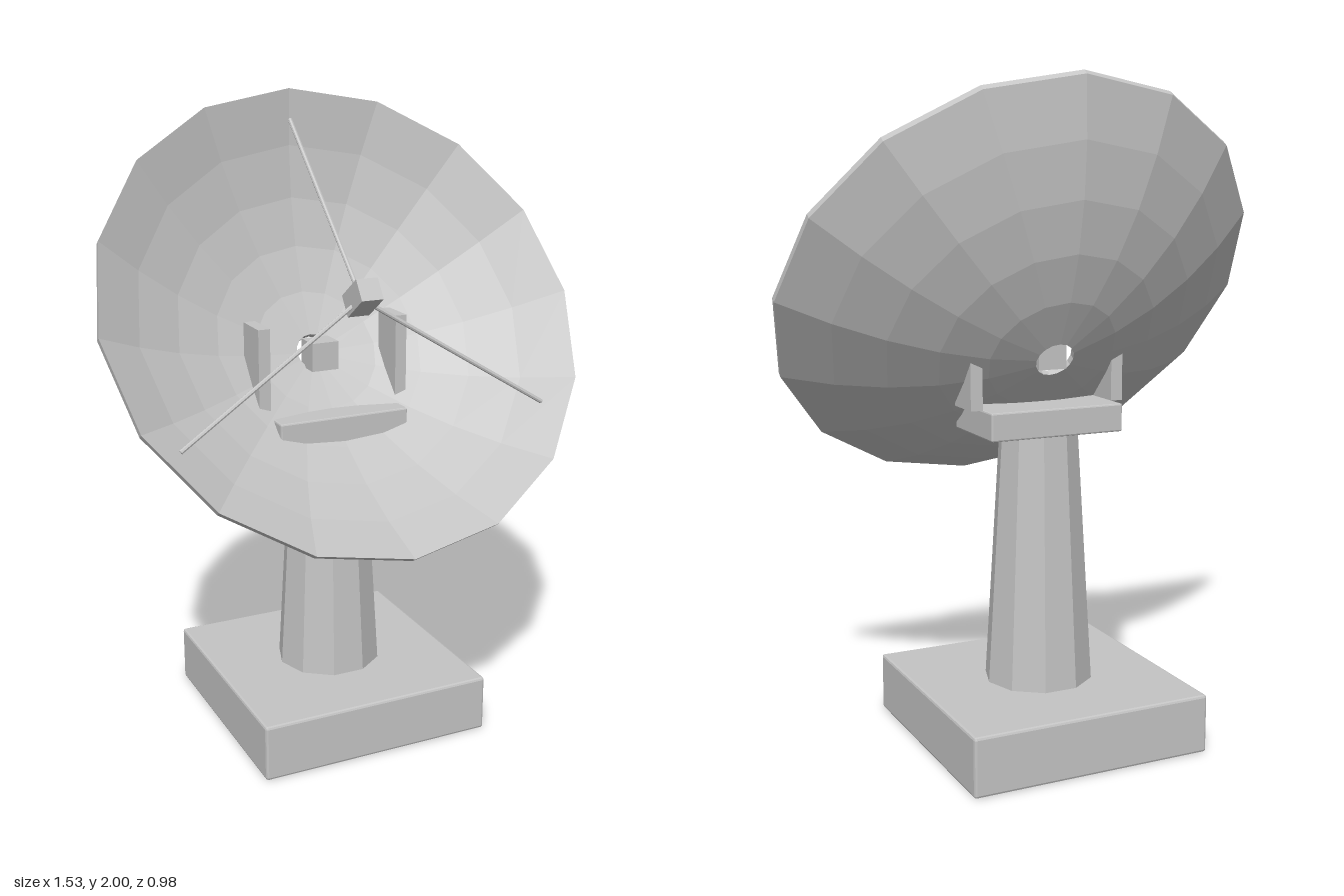
import * as THREE from 'three';
import { RoundedBoxGeometry } from 'three/addons/geometries/RoundedBoxGeometry.js';

export function createModel() {
  const model = new THREE.Group();
  model.name = 'satelliteDish';
  const grey = new THREE.MeshStandardMaterial({ color: 0xc4c4c4, flatShading: true });
  grey.name = 'paintedMetal';

  function add(parent, name, geometry, x = 0, y = 0, z = 0) {
    const mesh = new THREE.Mesh(geometry, grey);
    mesh.name = name;
    mesh.position.set(x, y, z);
    parent.add(mesh);
    return mesh;
  }

  // Pedestal: bevelled base, tapered ten-sided column, mounting plate
  const axisZ = -0.11;
  add(model, 'base', new RoundedBoxGeometry(0.76, 0.18, 0.76, 1, 0.008), 0, 0.09, axisZ);
  const column = new THREE.CylinderGeometry(0.12, 0.167, 0.79, 10);
  column.rotateY(Math.PI / 2);
  add(model, 'column', column, 0, 0.575, axisZ);
  add(model, 'mountingPlate', new RoundedBoxGeometry(0.43, 0.085, 0.27, 1, 0.005), 0, 0.999, axisZ);

  // Brackets that pass through the dish on both sides, and the central pivot block
  for (const side of [-1, 1]) {
    add(model, side > 0 ? 'leftBracket' : 'rightBracket',
      new THREE.BoxGeometry(0.038, 0.28, 0.12), side * 0.232, 1.18, -0.117);
  }
  add(model, 'pivotBlock', new THREE.BoxGeometry(0.09, 0.09, 0.085), 0, 1.197, -0.163);

  // Tilted reflector assembly: local +y is the dish axis, local -z its upper side
  const reflector = new THREE.Group();
  reflector.name = 'reflector';
  reflector.position.set(0, 1.372, 0.05);
  reflector.rotation.x = THREE.MathUtils.degToRad(55);
  model.add(reflector);

  // Parabolic shell with a round hole in the middle
  const R = 0.767, hole = 0.06, depth = 0.312, thickness = 0.02, rings = 5;
  const outer = [], inner = [];
  for (let i = 0; i <= rings; i++) {
    const r = hole + (R - hole) * i / rings;
    const y = -depth * (1 - (r / R) ** 2);
    outer.push(new THREE.Vector2(r, y - thickness));
    inner.unshift(new THREE.Vector2(r, y));
  }
  add(reflector, 'dish', new THREE.LatheGeometry([...outer, ...inner, outer[0].clone()], 16));

  // Receiver on the axis, held by three struts
  add(reflector, 'receiver', new THREE.BoxGeometry(0.07, 0.115, 0.07), 0, 0.11, 0);
  const start = new THREE.Vector3(0, 0.1, 0);
  for (let i = 0; i < 3; i++) {
    const a = i * Math.PI * 2 / 3;
    const end = new THREE.Vector3(0.685 * Math.sin(a), -0.05, -0.685 * Math.cos(a));
    const span = end.clone().sub(start);
    const strut = add(reflector, 'strut' + (i + 1), new THREE.CylinderGeometry(0.007, 0.007, span.length(), 8));
    strut.position.copy(start).addScaledVector(span, 0.5);
    strut.quaternion.setFromUnitVectors(new THREE.Vector3(0, 1, 0), span.normalize());
  }

  return model;
}
